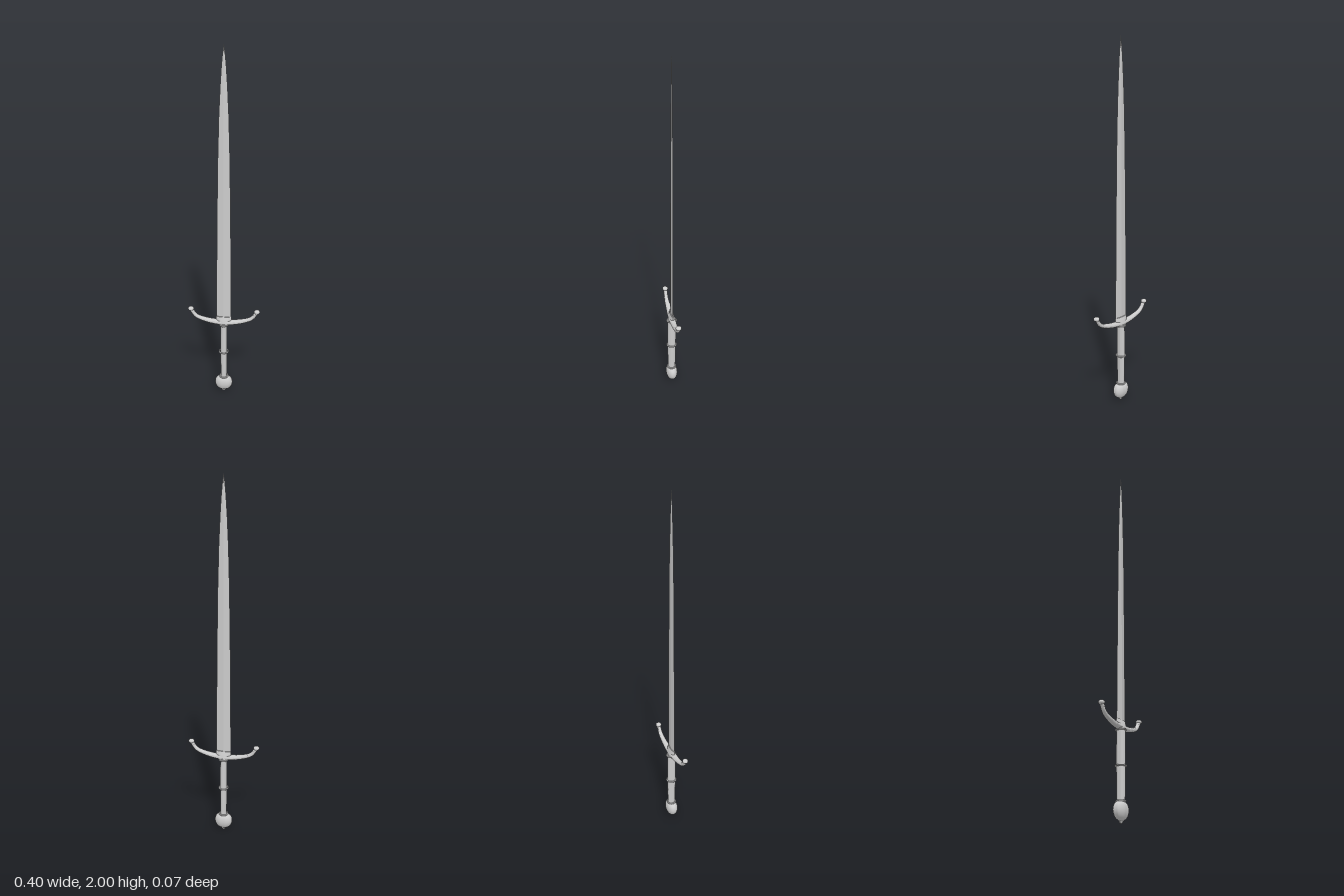
import * as THREE from 'three';
import { toCreasedNormals } from 'three/addons/utils/BufferGeometryUtils.js';

const material = new THREE.MeshStandardMaterial({ color: 0xcccccc });

// Closed skin over equal-length rings, each running counter-clockwise about the direction of travel.
function loft(rings, crease = 0.6) {
  const n = rings[0].length, pos = [], index = [];
  rings.forEach(r => r.forEach(p => pos.push(p.x, p.y, p.z)));
  for (let i = 0; i < rings.length - 1; i++) {
    for (let j = 0; j < n; j++) {
      const a = i * n + j, b = i * n + (j + 1) % n;
      index.push(a, b, b + n, a, b + n, a + n);
    }
  }
  [0, rings.length - 1].forEach((k, end) => {
    const c = new THREE.Vector3();
    rings[k].forEach(p => c.addScaledVector(p, 1 / n));
    const m = pos.length / 3;
    pos.push(c.x, c.y, c.z);
    for (let j = 0; j < n; j++) {
      const a = k * n + j, b = k * n + (j + 1) % n;
      if (end) index.push(a, b, m); else index.push(b, a, m);
    }
  });
  const g = new THREE.BufferGeometry();
  g.setAttribute('position', new THREE.Float32BufferAttribute(pos, 3));
  g.setIndex(index);
  return toCreasedNormals(g, crease);
}

// Horizontal ring at height y with half sizes rx and rz.
function ring(y, rx, rz, n) {
  return Array.from({ length: n }, (_, j) => {
    const a = -j / n * Math.PI * 2;
    return new THREE.Vector3(Math.cos(a) * rx, y, Math.sin(a) * rz);
  });
}

export function createModel() {
  const sword = new THREE.Group();
  sword.name = 'sword';
  const add = (name, geometry) => {
    const mesh = new THREE.Mesh(geometry, material);
    mesh.name = name;
    sword.add(mesh);
    return mesh;
  };

  // Blade: tapering diamond section with a central ridge
  const blade = [[0.47, 0.042, 0.006], [0.8, 0.039, 0.0055], [1.1, 0.036, 0.005], [1.43, 0.031, 0.004],
    [1.65, 0.025, 0.0035], [1.8, 0.018, 0.003], [1.9, 0.0115, 0.0025], [1.96, 0.006, 0.002], [2, 0.0004, 0.0003]];
  add('blade', loft(blade.map(([y, x, z]) => ring(y, x, z, 4)), 0.1));

  // Collar clasping the base of the blade
  add('collar', loft([[0.458, 0.034, 0.021], [0.475, 0.042, 0.019], [0.49, 0.043, 0.014], [0.507, 0.043, 0.009]]
    .map(([y, x, z]) => ring(y, x, z, 24))));

  // Crossguard: oval section swept along an upturned curve
  const half = [[0.05, 0.473], [0.1, 0.482], [0.145, 0.497], [0.166, 0.514], [0.177, 0.532], [0.186, 0.546]];
  const points = [...half.map(([x, y]) => [-x, y]).reverse(), [0, 0.471], ...half];
  const curve = new THREE.CatmullRomCurve3(points.map(([x, y]) => new THREE.Vector3(x, y, 0)));
  const rings = [];
  for (let i = 0; i <= 56; i++) {
    const t = i / 56, p = curve.getPointAt(t), d = curve.getTangentAt(t);
    const out = Math.min(1, Math.abs(p.x) / 0.17);
    const h = THREE.MathUtils.lerp(0.016, 0.0105, out), w = THREE.MathUtils.lerp(0.02, 0.0115, out);
    rings.push(Array.from({ length: 16 }, (_, j) => {
      const a = j / 16 * Math.PI * 2, u = Math.cos(a) * h;
      return new THREE.Vector3(p.x - d.y * u, p.y + d.x * u, Math.sin(a) * w);
    }));
  }
  add('crossguard', loft(rings, 0.8));

  // Round knobs on the guard tips
  for (const side of [-1, 1]) {
    const knob = add(side > 0 ? 'leftGuardKnob' : 'rightGuardKnob', new THREE.SphereGeometry(0.0165, 20, 14));
    knob.scale.y = 0.75;
    knob.position.set(side * 0.1855, 0.547, 0);
  }

  // Oval grip, slightly fuller towards the guard
  add('grip', loft([[0.09, 0.017, 0.021], [0.2, 0.018, 0.0235], [0.28, 0.019, 0.0245], [0.38, 0.019, 0.0245],
    [0.465, 0.018, 0.0235]].map(([y, x, z]) => ring(y, x, z, 24))));

  // Raised bands around the grip
  [['lowerBand', 0.105, 0.023, 0.024], ['middleBand', 0.275, 0.025, 0.0265], ['upperBand', 0.456, 0.023, 0.0265]]
    .forEach(([name, y, x, z]) => {
      const band = add(name, new THREE.TorusGeometry(1, 0.17, 10, 32).rotateX(Math.PI / 2));
      band.scale.set(x, 0.025, z);
      band.position.y = y;
    });

  // Flattened pommel with a small peened button underneath
  const profile = [[0, 0], [0.006, 0.001], [0.011, 0.006], [0.013, 0.012], [0.021, 0.017], [0.034, 0.025],
    [0.043, 0.036], [0.049, 0.05], [0.051, 0.063], [0.049, 0.078], [0.043, 0.091], [0.033, 0.1], [0.02, 0.105], [0, 0.106]];
  const pommel = add('pommel', toCreasedNormals(
    new THREE.LatheGeometry(profile.map(([x, y]) => new THREE.Vector2(x, y)), 32), 0.6));
  pommel.scale.z = 0.66;

  return sword;
}
